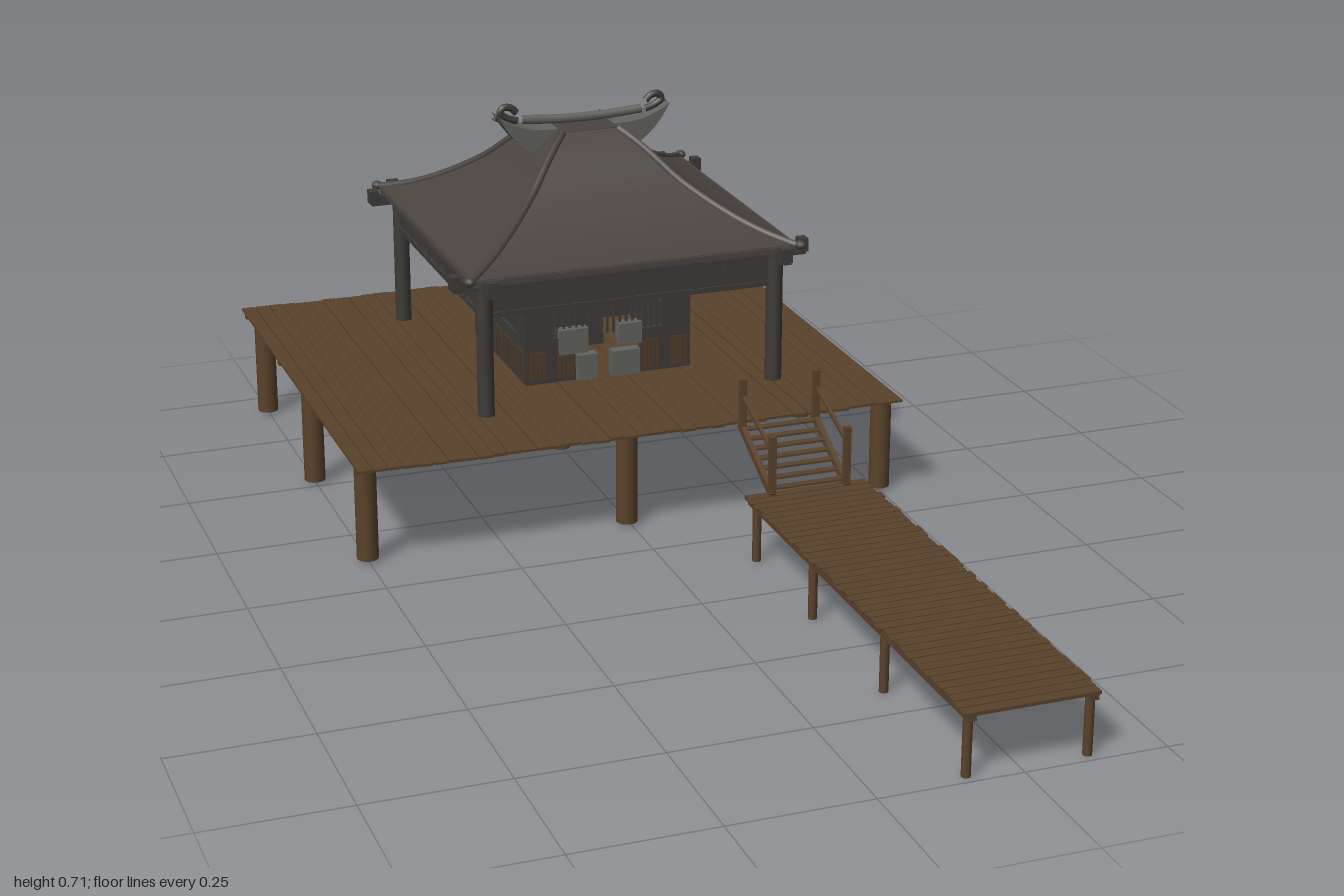
import * as THREE from 'three';

const mat = (name, color, side = THREE.FrontSide) => {
  const m = new THREE.MeshStandardMaterial({ color, side });
  m.name = name;
  return m;
};

export function createModel() {
  const wood = mat('weathered wood', 0x59422b);
  const panelWood = mat('panel wood', 0x523c23);
  const timber = mat('dark timber', 0x3e3b38);
  const tile = mat('roof tile', 0x4a443f, THREE.DoubleSide);
  const stone = mat('grey stone', 0x62625e);
  const root = new THREE.Group();

  let seed = 7;
  const rand = () => (seed = (seed * 16807) % 2147483647) / 2147483647 - 0.5;

  const group = (name, parent = root) => {
    const g = new THREE.Group();
    g.name = name;
    parent.add(g);
    return g;
  };
  const add = (parent, name, geo, material, x = 0, y = 0, z = 0) => {
    const m = new THREE.Mesh(geo, material);
    m.name = name;
    m.position.set(x, y, z);
    parent.add(m);
    return m;
  };
  // Box given by its limits
  const box = (parent, name, material, x0, x1, y0, y1, z0, z1) =>
    add(parent, name, new THREE.BoxGeometry(x1 - x0, y1 - y0, z1 - z0), material,
      (x0 + x1) / 2, (y0 + y1) / 2, (z0 + z1) / 2);
  const post = (parent, name, material, r, x, y0, y1, z, sides = 12) =>
    add(parent, name, new THREE.CylinderGeometry(r, r, y1 - y0, sides), material, x, (y0 + y1) / 2, z);
  // Square bar in the y-z plane between two points
  const slopedBar = (parent, name, x, y0, z0, y1, z1, w, h) => {
    const m = add(parent, name, new THREE.BoxGeometry(w, h, Math.hypot(y1 - y0, z1 - z0)), wood,
      x, (y0 + y1) / 2, (z0 + z1) / 2);
    m.rotation.x = -Math.atan2(y1 - y0, z1 - z0);
  };

  // Main deck: planks along z, joists along x, piles
  const deck = group('deck');
  const planks = 38, pw = 1.05 / planks;
  for (let i = 0; i < planks; i++) {
    const x = -0.5275 + i * pw, j = rand() * 0.008, g = 0.001 + Math.abs(rand()) * 0.003;
    box(deck, 'deckPlank', wood, x, x + pw - g, 0.195, 0.2 + rand() * 0.002, -0.996 + j, -0.064 + j);
  }
  for (const z of [-0.1, -0.39, -0.69, -0.98])
    box(deck, 'deckJoist', wood, -0.525, 0.522, 0.184, 0.1955, z - 0.007, z + 0.007);
  for (const x of [-0.5, -0.005, 0.505])
    for (const z of [-0.13, -0.525, -0.92]) post(deck, 'deckPile', wood, 0.02, x, 0.005, 0.195, z, 14);

  // Low walkway: planks across x on two rails
  const walk = group('walkway');
  const boards = 40, bw = 0.92 / boards;
  for (let i = 0; i < boards; i++) {
    const z = 0.08 + i * bw, j = rand() * 0.008;
    const m = box(walk, 'walkwayPlank', wood, 0.146 + j, 0.381 + j, 0.111, 0.117, z, z + bw - 0.003);
    m.rotation.y = rand() * 0.012;
  }
  for (const x of [0.158, 0.368]) {
    box(walk, 'walkwayRail', wood, x - 0.008, x + 0.008, 0.101, 0.111, 0.085, 0.995);
    for (const z of [0.11, 0.37, 0.67, 0.98]) post(walk, 'walkwayPost', wood, 0.008, x, 0, 0.105, z, 10);
  }

  // Stairs from the walkway to the deck
  const stairs = group('stairs');
  for (const x of [0.192, 0.337]) {
    slopedBar(stairs, 'stringer', x, 0.116, 0.1, 0.198, -0.06, 0.01, 0.014);
    slopedBar(stairs, 'handrail', x, 0.2, 0.095, 0.256, -0.05, 0.006, 0.007);
    box(stairs, 'newelPost', wood, x - 0.006, x + 0.006, 0.11, 0.23, 0.09, 0.102);
    box(stairs, 'newelPost', wood, x - 0.006, x + 0.006, 0.19, 0.288, -0.056, -0.044);
  }
  for (let i = 0; i < 7; i++) {
    const t = (i + 0.5) / 7, y = 0.12 + t * 0.078, z = 0.095 - t * 0.15;
    box(stairs, 'tread', wood, 0.194, 0.335, y - 0.002, y + 0.002, z - 0.008, z + 0.008);
  }

  // Pavilion frame: columns, lintels and crossing beams
  const pavilion = group('pavilion');
  pavilion.position.set(0.05, 0, -0.54);
  for (const x of [-0.285, 0.285])
    for (const z of [-0.285, 0.285]) post(pavilion, 'column', timber, 0.016, x, 0.2, 0.46, z, 12);
  for (let s = 0; s < 4; s++) {
    const side = group('lintel', pavilion);
    side.rotation.y = s * Math.PI / 2;
    box(side, 'lintelPanel', timber, -0.28, 0.28, 0.39, 0.46, 0.281, 0.289);
    box(side, 'upperBeam', timber, -0.345, 0.345, 0.445, 0.466, 0.276, 0.294);
    box(side, 'lowerBeam', timber, -0.28, 0.28, 0.39, 0.4, 0.277, 0.293);
    for (let i = -4; i <= 4; i++)
      box(side, 'lintelStud', timber, i * 0.062 - 0.004, i * 0.062 + 0.004, 0.4, 0.445, 0.278, 0.292);
    box(side, 'eaveBoard', tile, -0.318, 0.318, 0.46, 0.474, 0.308, 0.318);
    for (const x of [-0.34, 0.34])
      box(side, 'beamEnd', timber, x - 0.009, x + 0.009, 0.45, 0.476, 0.274, 0.296);
  }

  // Curved hip roof: [half width, height] from eave to top
  const profile = new THREE.CatmullRomCurve3([[0.32, 0.472], [0.27, 0.489], [0.215, 0.518],
    [0.145, 0.57], [0.11, 0.607], [0.078, 0.638], [0.055, 0.656]]
    .map(([w, y]) => new THREE.Vector3(w, y, 0)));
  const roof = group('roof', pavilion);
  const hipPath = new THREE.CatmullRomCurve3(profile.getPoints(12)
    .map(p => new THREE.Vector3(p.x, p.y, p.x)));
  for (let s = 0; s < 4; s++) {
    const geo = new THREE.PlaneGeometry(1, 1, 1, 16), pos = geo.attributes.position;
    for (let i = 0; i < pos.count; i++) {
      const p = profile.getPoint(pos.getY(i) + 0.5);
      pos.setXYZ(i, pos.getX(i) * 2 * p.x, p.y, p.x);
    }
    geo.computeVertexNormals();
    add(roof, 'roofSlope', geo, tile).rotation.y = s * Math.PI / 2;
    add(roof, 'hipRib', new THREE.TubeGeometry(hipPath, 24, 0.007, 6), tile).rotation.y = s * Math.PI / 2;
    const tip = add(roof, 'hipTip', new THREE.SphereGeometry(0.011, 10, 8), tile,
      s % 2 ? 0.322 : -0.322, 0.474, s < 2 ? 0.322 : -0.322);
    tip.scale.y = 0.8;
  }
  box(roof, 'roofCap', tile, -0.055, 0.055, 0.645, 0.657, -0.055, 0.055);

  // Crescent ridge with curled ends
  const ridge = new THREE.Shape();
  ridge.moveTo(-0.17, 0.686);
  ridge.quadraticCurveTo(-0.145, 0.635, -0.1, 0.61);
  ridge.lineTo(0.1, 0.61);
  ridge.quadraticCurveTo(0.145, 0.635, 0.17, 0.686);
  ridge.quadraticCurveTo(0.13, 0.658, 0.08, 0.656);
  ridge.lineTo(-0.08, 0.656);
  ridge.quadraticCurveTo(-0.13, 0.658, -0.17, 0.686);
  add(roof, 'ridge', new THREE.ExtrudeGeometry(ridge, { depth: 0.05, bevelEnabled: false, curveSegments: 8 }),
    stone, 0, 0, -0.025);
  const crest = new THREE.CatmullRomCurve3([-0.12, -0.06, 0, 0.06, 0.12]
    .map(x => new THREE.Vector3(x, 0.668 + x * x * 0.4, 0)));
  add(roof, 'ridgeCrest', new THREE.TubeGeometry(crest, 20, 0.009, 8), stone);
  for (const d of [-1, 1]) {
    const curl = new THREE.CatmullRomCurve3([[0.128, 0.672], [0.15, 0.68], [0.162, 0.69], [0.155, 0.7],
      [0.14, 0.698], [0.13, 0.688]].map(([x, y]) => new THREE.Vector3(d * x, y, 0)));
    add(roof, 'ridgeCurl', new THREE.TubeGeometry(curl, 20, 0.007, 8), timber);
    const fin = add(roof, 'ridgeFin', new THREE.ConeGeometry(0.006, 0.024, 6), timber, d * 0.167, 0.687, 0);
    fin.rotation.z = d * 0.5;
  }

  // Inner hall: four walls with barred windows; the front has a doorway
  const hall = group('hall', pavilion);
  hall.position.x = -0.005;
  const H = 0.166, T = 0.155;
  for (let s = 0; s < 4; s++) {
    const wall = group(['frontWall', 'leftWall', 'backWall', 'rightWall'][s], hall);
    wall.rotation.y = s * Math.PI / 2;
    const front = s === 0;
    box(wall, 'wallTop', timber, -H, H, 0.378, 0.45, T, H);
    for (const d of [-1, 1]) {
      box(wall, 'wallSide', timber, Math.min(d * H, d * 0.11), Math.max(d * H, d * 0.11), 0.2, 0.38, T, H);
      if (front) box(wall, 'lowWall', timber, Math.min(d * 0.066, d * 0.11), Math.max(d * 0.066, d * 0.11),
        0.2, 0.288, T, H);
    }
    if (!front) box(wall, 'lowWall', timber, -0.11, 0.11, 0.2, 0.288, T, H);
    for (let i = -8; i <= 8; i++)
      box(wall, 'windowBar', timber, i * 0.0125 - 0.002, i * 0.0125 + 0.002, 0.286, 0.38, 0.158, 0.162);
    for (const x of front ? [-0.142, -0.086, 0.086, 0.142] : [-0.134, -0.067, 0, 0.067, 0.134]) {
      const w = front ? 0.016 : 0.024;
      box(wall, 'wallPanel', panelWood, x - w, x + w, 0.208, 0.265, H - 0.001, H + 0.002);
      // Lattice strips over each panel
      for (const k of [-0.5, 0, 0.5])
        box(wall, 'lattice', timber, x + k * w - 0.001, x + k * w + 0.001, 0.208, 0.265, H, H + 0.004);
    }
  }

  // Grey blocks stacked at the doorway
  const blocks = group('doorwayBlocks', hall);
  for (const [x0, x1, y0, y1, z] of [[-0.1, -0.042, 0.255, 0.304, 0.15], [-0.063, -0.023, 0.2, 0.25, 0.15],
    [0.006, 0.062, 0.2, 0.25, 0.15], [0.02, 0.066, 0.262, 0.304, 0.15]])
    box(blocks, 'block', stone, x0, x1, y0, y1, z, z + 0.022);
  box(hall, 'innerTable', timber, -0.05, 0.05, 0.2, 0.306, -0.1, -0.01);

  return root;
}
